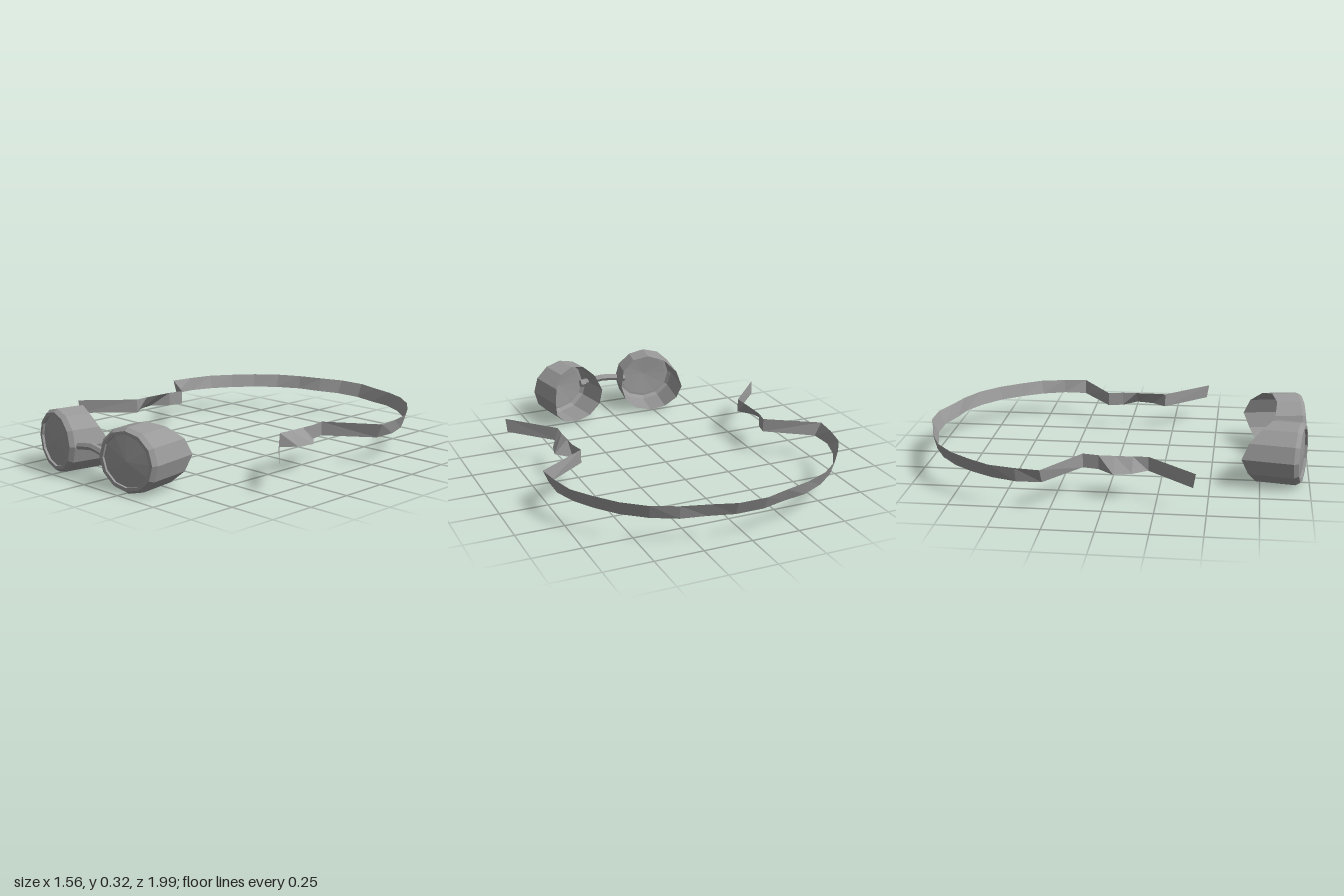
import * as THREE from 'three';

const grey = new THREE.MeshStandardMaterial({ color: 0x999999, flatShading: true, side: THREE.DoubleSide });
grey.name = 'grey';

// Join rows of points into a surface; closed rows wrap around
function loft(rows, closed) {
  const n = rows[0].length, index = [];
  for (let i = 0; i < rows.length - 1; i++) {
    for (let j = 0; j < (closed ? n : n - 1); j++) {
      const k = (j + 1) % n;
      const a = i * n + j, b = i * n + k, c = a + n, d = b + n;
      index.push(a, b, d, a, d, c);
    }
  }
  const geo = new THREE.BufferGeometry();
  geo.setAttribute('position', new THREE.Float32BufferAttribute(rows.flat(2), 3));
  geo.setIndex(index);
  const flat = geo.toNonIndexed();
  flat.computeVertexNormals();
  return flat;
}

function part(name, geo) {
  const mesh = new THREE.Mesh(geo, grey);
  mesh.name = name;
  return mesh;
}

// Eyecup: twelve sides, turned outward, with a back edge cut to fit the face
const SIDES = 12, YAW = 0.175, CX = 0.27, CY = 0.162, CZ = 0.964;
const backZ = [0.655, 0.69, 0.755, 0.805, 0.832, 0.825, 0.785, 0.775, 0.77, 0.755, 0.73, 0.69];

function cupPoint(side, i, r, w) {
  const t = (i / SIDES) * Math.PI * 2;
  const u = r * 1.09 * Math.cos(t);
  return [
    side * (CX + u * Math.cos(YAW) + w * Math.sin(YAW)),
    CY + r * Math.sin(t),
    CZ - u * Math.sin(YAW) + w * Math.cos(YAW),
  ];
}

function ring(side, r, w) {
  return Array.from({ length: SIDES }, (_, i) => cupPoint(side, i, r, w));
}

function makeCup(side) {
  const cup = new THREE.Group();
  cup.name = side > 0 ? 'leftEyecup' : 'rightEyecup';
  const back = backZ.map((z, i) => {
    const base = cupPoint(side, i, 0.16, 0);
    return cupPoint(side, i, 0.16, (z - base[2]) / Math.cos(YAW));
  });
  const wall = [back, ring(side, 0.16, -0.022), ring(side, 0.145, 0), ring(side, 0.128, 0), ring(side, 0.128, -0.012)];
  const lens = [ring(side, 0.128, -0.012), ring(side, 0, -0.002)];
  if (side < 0) [wall, lens].forEach((rows) => rows.forEach((row) => row.reverse()));
  cup.add(part('cupWall', loft(wall, true)), part('lens', loft(lens, true)));
  return cup;
}

// Strap half: [top x, top z, bottom x, bottom z] from the front end to the back
const strapPath = [
  [0.75, 0.447, 0.745, 0.435], [0.535, 0.205, 0.535, 0.205],
  [0.54, 0.13, 0.59, 0.13], [0.54, 0.04, 0.612, 0.04],
  [0.54, -0.04, 0.54, -0.04], [0.523, -0.12, 0.523, -0.12],
  [0.782, -0.29, 0.75, -0.285], [0.765, -0.415, 0.752, -0.41],
  [0.733, -0.547, 0.71, -0.535], [0.66, -0.66, 0.645, -0.645],
  [0.574, -0.77, 0.563, -0.75], [0.463, -0.863, 0.455, -0.84],
  [0.335, -0.922, 0.33, -0.905], [0.2, -0.96, 0.2, -0.93],
  [0.075, -1, 0.075, -0.965],
];

function makeStrap() {
  const half = (s) => strapPath.map(([tx, tz, bx, bz]) => [[s * tx, 0.21, tz], [s * bx, 0.138, bz]]);
  return part('strap', loft([...half(1), ...half(-1).reverse()], false));
}

// Arched nose bridge whose ends sit inside the cups
function makeBridge() {
  const bridge = new THREE.Group();
  bridge.name = 'noseBridge';
  const points = [[-0.13, 0.16, 0.952], [-0.07, 0.17, 0.947], [0, 0.179, 0.943], [0.07, 0.17, 0.947], [0.13, 0.16, 0.952]];
  const curve = new THREE.CatmullRomCurve3(points.map((p) => new THREE.Vector3(...p)));
  bridge.add(part('bridgeRod', new THREE.TubeGeometry(curve, 6, 0.019, 6, false)));
  for (const s of [-1, 1]) {
    const knob = part('bridgeEnd', new THREE.CylinderGeometry(0.022, 0.022, 0.03, 6));
    knob.rotation.z = Math.PI / 2;
    knob.position.set(s * 0.125, 0.16, 0.945);
    bridge.add(knob);
  }
  return bridge;
}

export function createModel() {
  const model = new THREE.Group();
  model.name = 'goggles';
  model.add(makeCup(1), makeCup(-1), makeBridge(), makeStrap());
  return model;
}
